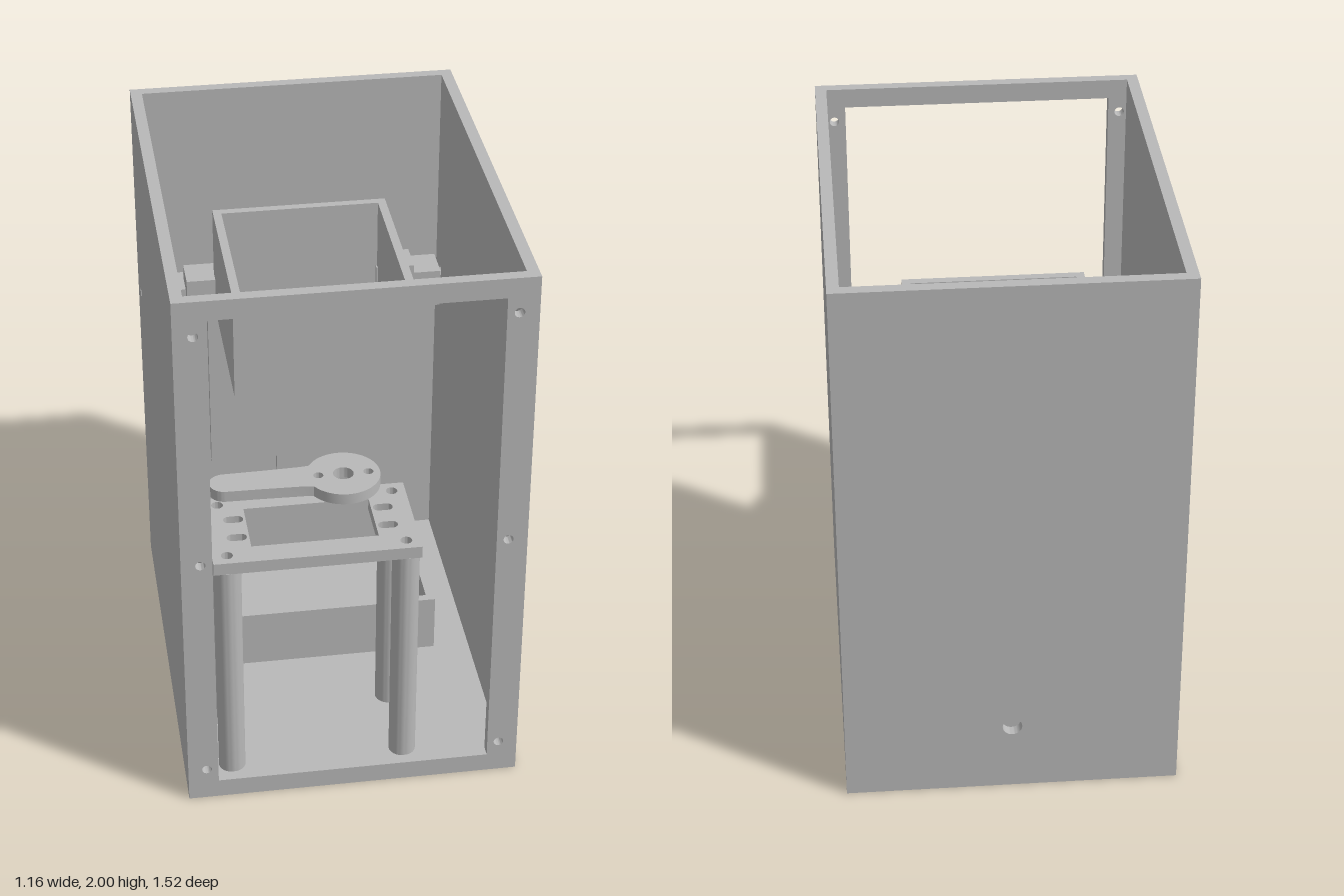
import * as THREE from 'three';
import { toCreasedNormals } from 'three/addons/utils/BufferGeometryUtils.js';

const grey = new THREE.MeshStandardMaterial({ color: 0xb8b8b8 });
grey.name = 'plain grey';

const rect = (x0, y0, x1, y1, Type = THREE.Shape) => {
  const s = new Type();
  s.moveTo(x0, y0); s.lineTo(x1, y0); s.lineTo(x1, y1); s.lineTo(x0, y1); s.closePath();
  return s;
};
const hole = (x, y, r) => new THREE.Path().absarc(x, y, r, 0, Math.PI * 2, true);
const slot = (x, y, half, r) => {
  const p = new THREE.Path();
  p.absarc(x + half, y, r, -Math.PI / 2, Math.PI / 2, false);
  p.absarc(x - half, y, r, Math.PI / 2, Math.PI * 1.5, false);
  p.closePath();
  return p;
};
const disc = (x, y, r) => new THREE.Shape().absarc(x, y, r, 0, Math.PI * 2, false);

function slab(shape, holes, depth) {
  shape.holes.push(...holes);
  const g = new THREE.ExtrudeGeometry(shape, { depth, bevelEnabled: false, curveSegments: 20 });
  return toCreasedNormals(g, 0.6);
}
// Shape in x/y, starting at z and growing forward
const upright = (shape, holes, z, depth) => slab(shape, holes, depth).translate(0, 0, z);
// Shape in x/z, hanging down from the height "top"
const level = (shape, holes, top, depth) =>
  slab(shape, holes, depth).rotateX(Math.PI / 2).translate(0, top, 0);
// Shape in z/y, growing towards -x from "right"
const sideways = (shape, holes, right, depth) =>
  slab(shape, holes, depth).rotateY(-Math.PI / 2).translate(right, 0, 0);
const block = (x0, x1, y0, y1, z0, z1) =>
  new THREE.BoxGeometry(x1 - x0, y1 - y0, z1 - z0)
    .translate((x0 + x1) / 2, (y0 + y1) / 2, (z0 + z1) / 2);

export function createModel() {
  const model = new THREE.Group();
  const add = (name, geometry) => {
    const mesh = new THREE.Mesh(geometry, grey);
    mesh.name = name;
    model.add(mesh);
  };

  // Case: front frame, back, sides and floor, open at the top
  const screws = [];
  for (const x of [-0.515, 0.515])
    for (const y of [0.125, 1, 1.875]) screws.push(hole(x, y, 0.017));
  add('frontFrame', upright(rect(-0.58, 0, 0.58, 2),
    [rect(-0.475, 0.07, 0.475, 1.93, THREE.Path), ...screws], 0.72, 0.04));
  add('backWall', upright(rect(-0.58, 0, 0.58, 2), [hole(0, 0.26, 0.034)], -0.76, 0.04));
  for (const right of [0.58, -0.54])
    add('sideWall', sideways(rect(-0.72, 0, 0.72, 2), [hole(-0.64, 1.24, 0.02)], right, 0.04));

  const legs = [];
  for (const x of [-0.415, 0.192]) for (const z of [0.345, 0.64]) legs.push([x, z]);
  const boltHoles = () => legs.map(([x, z]) => hole(x, z, 0.02));
  add('floor', level(rect(-0.54, -0.72, 0.54, 0.72), boltHoles(), 0.04, 0.04));

  // Tray on the floor
  add('trayWalls', level(rect(-0.41, -0.62, 0.41, 0.09),
    [rect(-0.38, -0.59, 0.38, 0.06, THREE.Path)], 0.26, 0.22));
  add('trayBottom', block(-0.38, 0.38, 0.04, 0.07, -0.59, 0.06));

  // Hopper, open above and below
  add('hopper', level(rect(-0.315, -0.58, 0.315, 0.05),
    [rect(-0.285, -0.55, 0.285, 0.02, THREE.Path)], 1.59, 0.4));

  // Hinge: roller, hanging flap with tab, sleeves, brackets and hopper arms
  add('roller', toCreasedNormals(new THREE.CylinderGeometry(0.047, 0.047, 0.68, 32), 0.6)
    .rotateZ(Math.PI / 2).translate(0, 1.187, -0.645));
  const flap = new THREE.Shape([
    [-0.338, 1.17], [-0.338, 0.47], [-0.085, 0.47], [-0.085, 0.405],
    [0.083, 0.405], [0.083, 0.47], [0.335, 0.47], [0.335, 1.17],
  ].map(([x, y]) => new THREE.Vector2(x, y)));
  add('hangingFlap', upright(flap, [], -0.66, 0.03));
  for (const s of [-1, 1]) {
    const span = (a, b) => (s > 0 ? [a, b] : [-b, -a]);
    add('hingeSleeve', sideways(disc(-0.643, 1.19, 0.074), [hole(-0.643, 1.19, 0.05)],
      span(0.345, 0.475)[1], 0.13));
    add('hingeBracket', sideways(rect(-0.71, 1.125, -0.58, 1.27), [hole(-0.643, 1.19, 0.05)],
      span(0.418, 0.53)[1], 0.112));
    add('hopperArm', block(...span(0.28, 0.42), 1.24, 1.33, -0.655, -0.53));
  }

  // Motor stand: slotted plate on four tubular legs
  const slots = [];
  for (const x of [-0.37, 0.146])
    for (const z of [0.437, 0.542]) slots.push(slot(x, z, 0.015, 0.019));
  add('standPlate', level(rect(-0.465, 0.3, 0.24, 0.685),
    [rect(-0.328, 0.38, 0.105, 0.6, THREE.Path), ...slots, ...boltHoles()], 0.945, 0.045));
  for (const [x, z] of legs)
    add('standLeg', level(disc(x, z, 0.047), [hole(x, z, 0.02)], 0.9, 0.86));

  // Lever: round hub tapering into an arm with a rounded tip
  const lever = new THREE.Shape();
  const a = Math.PI - 0.52;
  lever.absarc(0, 0.49, 0.125, -a, a, false);
  lever.lineTo(-0.14, 0.548);
  lever.lineTo(-0.28, 0.544);
  lever.absarc(-0.402, 0.49, 0.052, Math.PI / 2, Math.PI * 1.5, false);
  lever.lineTo(-0.28, 0.436);
  lever.lineTo(-0.14, 0.432);
  lever.closePath();
  add('lever', level(lever,
    [hole(0, 0.49, 0.035), hole(-0.085, 0.49, 0.017), hole(0.085, 0.49, 0.017)], 1.135, 0.04));

  return model;
}
